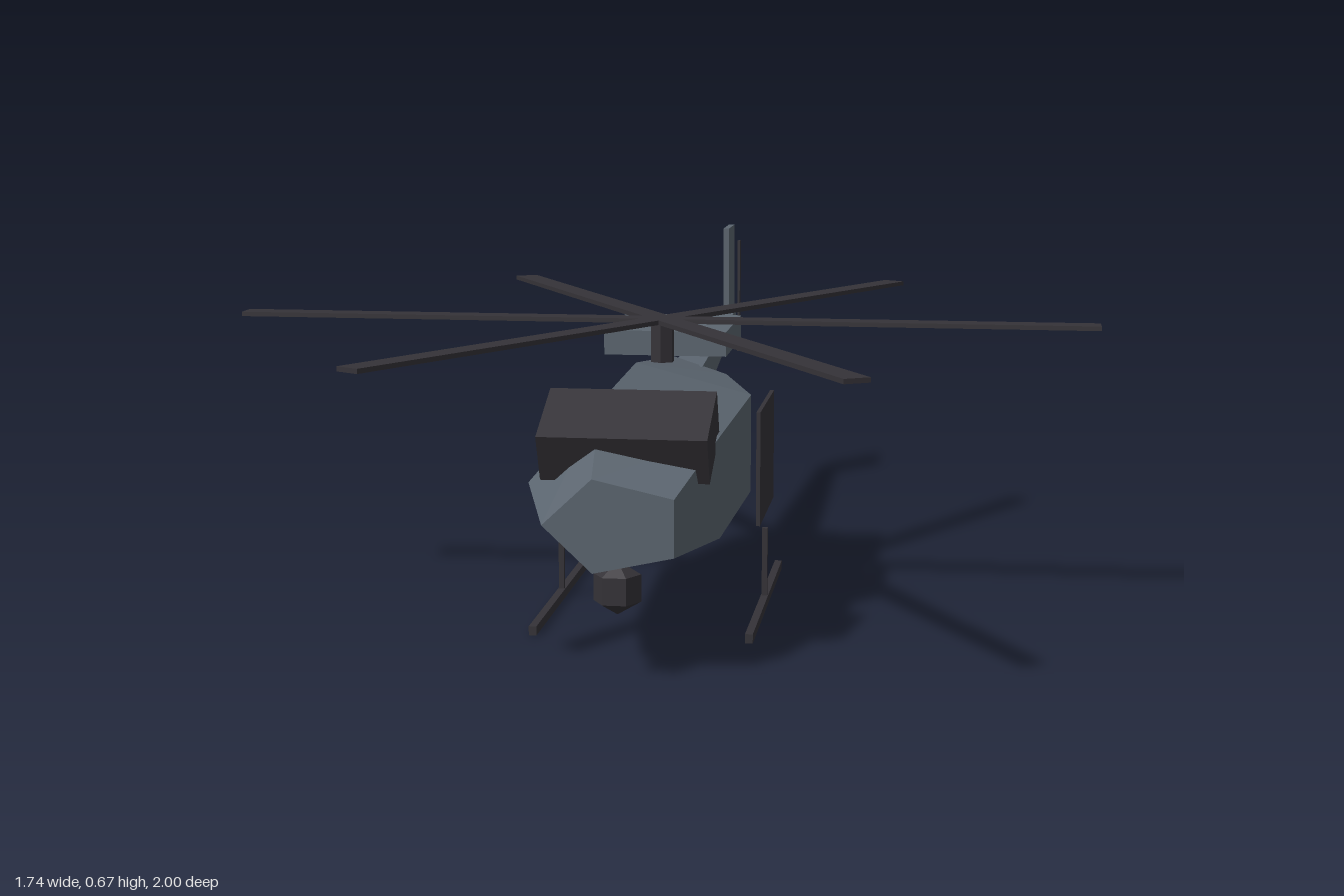
import * as THREE from 'three';

const body = new THREE.MeshStandardMaterial({ color: 0x5c6670 });
body.name = 'slate grey';
const dark = new THREE.MeshStandardMaterial({ color: 0x353338 });
dark.name = 'charcoal';

function faceted(geometry) {
  const g = geometry.index ? geometry.toNonIndexed() : geometry;
  g.computeVertexNormals();
  return g;
}

// Closed, flat-faced skin through rings of [x, y, z] points, ordered back to front.
function loft(rings) {
  const n = rings[0].length, p = [];
  const tri = (a, b, c) => p.push(...a, ...b, ...c);
  for (let s = 0; s < rings.length - 1; s++) {
    for (let i = 0; i < n; i++) {
      const j = (i + 1) % n, a = rings[s], b = rings[s + 1];
      tri(a[i], a[j], b[j]);
      tri(a[i], b[j], b[i]);
    }
  }
  const back = rings[0], front = rings[rings.length - 1];
  for (let i = 1; i < n - 1; i++) {
    tri(back[0], back[i + 1], back[i]);
    tri(front[0], front[i], front[i + 1]);
  }
  const g = new THREE.BufferGeometry();
  g.setAttribute('position', new THREE.Float32BufferAttribute(p, 3));
  return faceted(g);
}

export function createModel() {
  const model = new THREE.Group();
  model.name = 'helicopter';
  const add = (name, geometry, material, x = 0, y = 0, z = 0, parent = model) => {
    const mesh = new THREE.Mesh(geometry, material);
    mesh.name = name;
    mesh.position.set(x, y, z);
    parent.add(mesh);
    return mesh;
  };
  const box = (name, w, h, d, material, x, y, z, parent) =>
    add(name, new THREE.BoxGeometry(w, h, d), material, x, y, z, parent);

  // Five-sided fuselage: z, centre height, horizontal and vertical radius
  const stations = [
    [-0.15, 0.353, 0.105, 0.103],
    [0.16, 0.318, 0.213, 0.171],
    [0.61, 0.316, 0.2, 0.164],
    [0.83, 0.284, 0.132, 0.09],
  ];
  add('fuselage', loft(stations.map(([z, y, rx, ry]) =>
    [0, 1, 2, 3, 4].map((i) => {
      const a = Math.PI + (i * 2 * Math.PI) / 5;
      return [rx * Math.cos(a), y + ry * Math.sin(a), z];
    }))), body);

  // Tapered square tail boom
  const boom = [[-0.97, 0.015, 0.425, 0.457], [-0.12, 0.036, 0.348, 0.432]];
  add('tailBoom', loft(boom.map(([z, w, lo, hi]) =>
    [[-w, lo, z], [w, lo, z], [w, hi, z], [-w, hi, z]])), body);
  box('tailFin', 0.014, 0.23, 0.12, body, 0, 0.555, -0.94);
  box('tailRotorBlade', 0.006, 0.28, 0.022, dark, 0.026, 0.495, -0.938);

  // Cockpit canopy, side door, engine housing and nose sensor
  box('canopy', 0.312, 0.095, 0.16, dark, 0, 0.42, 0.664).rotation.x = 0.43;
  box('sideDoor', 0.008, 0.225, 0.28, dark, 0.213, 0.313, 0.272);
  box('engineHousing', 0.25, 0.05, 0.28, body, 0, 0.527, 0.06);
  add('noseSensor', faceted(new THREE.SphereGeometry(0.05, 6, 3)), dark, 0, 0.168, 0.8);

  // Main rotor: three full-width bars make six blades
  const rotor = new THREE.Group();
  rotor.name = 'mainRotor';
  rotor.position.set(0, 0.58, 0.236);
  model.add(rotor);
  add('mast', faceted(new THREE.CylinderGeometry(0.025, 0.025, 0.085, 6)), dark, 0, -0.042, 0, rotor);
  for (let i = 0; i < 3; i++) {
    box('rotorBlades', 1.736, 0.009, 0.05, dark, 0, 0, 0, rotor).rotation.y = (i * Math.PI) / 3;
  }

  // Landing skids
  for (const side of [-1, 1]) {
    box('skid', 0.015, 0.018, 0.61, dark, side * 0.21, 0.009, 0.235);
    box('skidStrut', 0.011, 0.143, 0.011, dark, side * 0.21, 0.087, 0.236);
  }
  return model;
}
